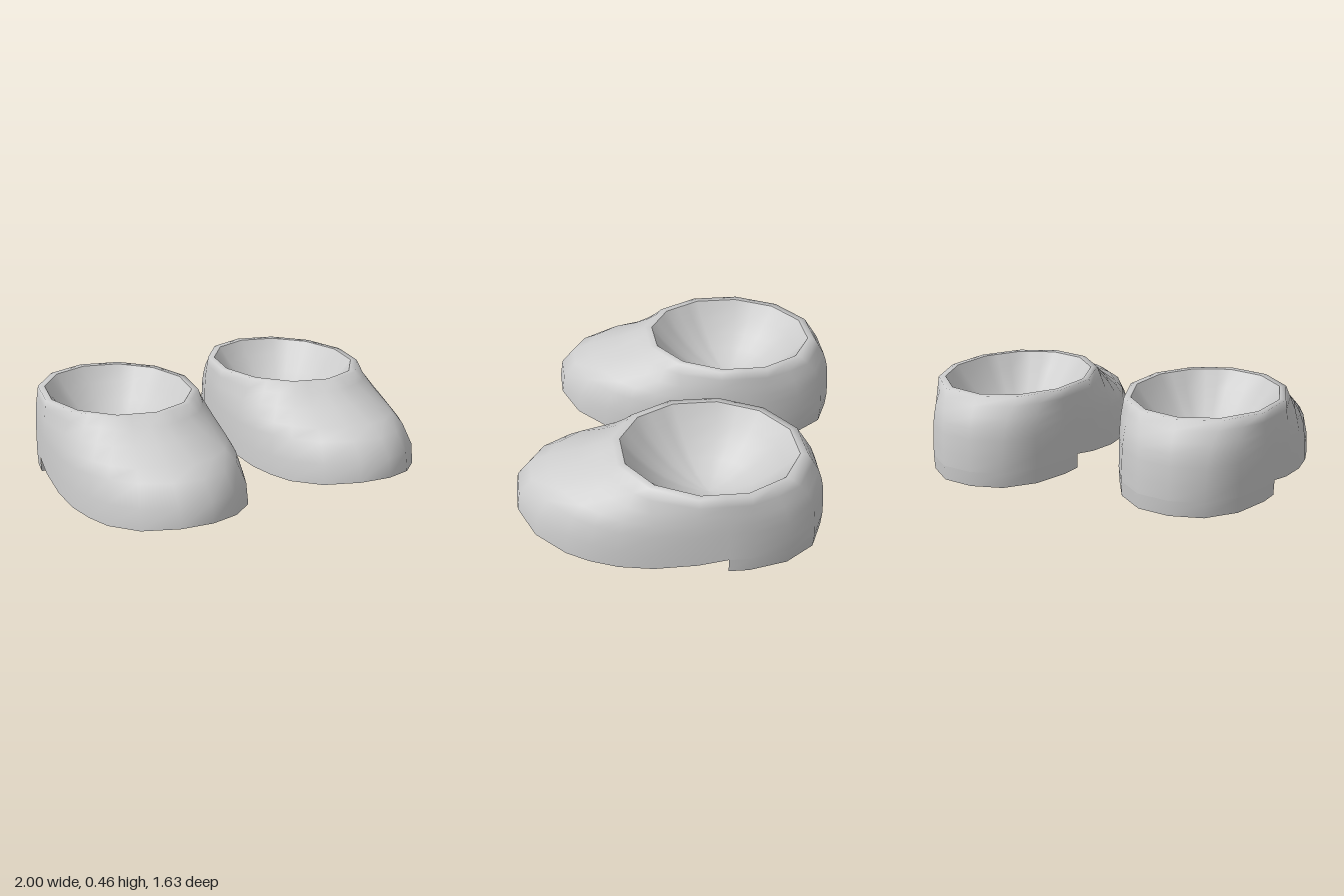
import * as THREE from 'three';

const TOP = 0.46;
const HEEL_Z = -0.37;

// half outline of the shoe, heel to toe: x, z, position on the 12-sided opening
const HALF = [
  [0, -0.82, 0], [0.17, -0.785, 1], [0.305, -0.66, 1.5], [0.39, -0.475, 2], [0.412, HEEL_Z, 2.5],
  [0.44, -0.22, 3], [0.46, 0, 4], [0.457, 0.18, 4.33], [0.435, 0.33, 4.67], [0.395, 0.46, 5],
  [0.305, 0.64, 5.33], [0.155, 0.77, 5.67], [0, 0.815, 6],
];
const mirrored = HALF.slice(1, -1).reverse().map(([x, z, s]) => [-x, z, 12 - s]);
const OUTLINE = [...HALF, ...mirrored];

// wall levels: [outward, height] at the heel and at the toe
const HEEL_WALL = [[1, 0], [0.97, 0.2], [0.9, 0.45], [0.78, 0.6], [0.6, 0.74], [0.28, 0.88], [0, 1]];
const TOE_WALL = [[1, 0], [0.97, 0.26], [0.83, 0.5], [0.66, 0.615], [0.34, 0.77], [0.13, 0.9], [0, 1]];

// underside height along the shoe
function soleY(z) {
  if (z <= HEEL_Z) return 0.08;
  if (z < 0.2) return 0.005 + 0.075 * ((0.2 - z) / 0.57) ** 1.7;
  return 0.005 + 0.065 * (Math.max(0, z - 0.45) / 0.37) ** 1.5;
}

// point on the 12-sided opening
function opening(s, scale) {
  const corner = (k) => [Math.sin(k * Math.PI / 6) * 0.385, -Math.cos(k * Math.PI / 6) * 0.46];
  const k = Math.floor(s), a = corner(k), b = corner(k + 1), t = s - k;
  return [(a[0] + (b[0] - a[0]) * t) * scale, -0.22 + (a[1] + (b[1] - a[1]) * t) * scale];
}

// smooth surface through rings of equal point count
function loft(rings, closed = true) {
  const n = rings[0].length, index = [];
  for (let r = 0; r < rings.length - 1; r++) {
    for (let i = 0; i < (closed ? n : n - 1); i++) {
      const j = (i + 1) % n;
      const a = r * n + i, b = a + n, c = r * n + j, d = c + n;
      index.push(a, b, c, c, b, d);
    }
  }
  const geometry = new THREE.BufferGeometry();
  geometry.setAttribute('position', new THREE.Float32BufferAttribute(rings.flat(2), 3));
  geometry.setIndex(index);
  geometry.computeVertexNormals();
  return geometry;
}

function upperGeometry() {
  const rings = HEEL_WALL.map(([hk, hh], level) => OUTLINE.map(([x, z, s]) => {
    const toe = THREE.MathUtils.smoothstep(z, -0.05, 0.6);
    const k = THREE.MathUtils.lerp(hk, TOE_WALL[level][0], toe);
    const h = THREE.MathUtils.lerp(hh, TOE_WALL[level][1], toe);
    const [rx, rz] = opening(s, 1.09);
    return [rx + (x - rx) * k, THREE.MathUtils.lerp(soleY(z), TOP, h), rz + (z - rz) * k];
  }));
  // flat rim around the opening
  rings.push(OUTLINE.map(([, , s]) => {
    const [x, z] = opening(s, 1);
    return [x, TOP, z];
  }));
  return loft(rings);
}

// rounded hollow inside the opening
function liningGeometry() {
  const rings = [1, 0.85, 0.68, 0.5, 0.3, 0.12, 0.001].map((r) => OUTLINE.map(([, , s]) => {
    const [x, z] = opening(s, r);
    return [x, TOP - 0.3 * (1 - r * r), z];
  }));
  return loft(rings);
}

function soleGeometry() {
  return loft([0, 1].map((w) => OUTLINE.map(([x, z]) => [x * w, soleY(z), z])));
}

export function createModel() {
  const grey = new THREE.MeshStandardMaterial({ color: 0xcccccc });
  grey.name = 'light grey';
  const model = new THREE.Group();
  model.name = 'shoes';

  const back = HALF.slice(0, 5);
  const heel = [...back.slice(1).reverse().map(([x, z]) => [-x, z]), ...back];
  const heelRing = (width, y, scale) => heel.map(([x, z]) => [x * width * scale, y, z < HEEL_Z ? z * scale : z]);
  const parts = {
    upper: upperGeometry(),
    lining: liningGeometry(),
    sole: soleGeometry(),
    heelWall: loft([heelRing(1, 0, 0.993), heelRing(1, 0.08, 1)], false),
    heelBottom: loft([heelRing(0, 0, 0.993), heelRing(1, 0, 0.993)], false),
    heelFront: new THREE.PlaneGeometry(0.82, 0.08).translate(0, 0.04, HEEL_Z),
  };

  for (const side of [1, -1]) {
    const shoe = new THREE.Group();
    shoe.name = side > 0 ? 'leftShoe' : 'rightShoe';
    for (const [name, geometry] of Object.entries(parts)) {
      const mesh = new THREE.Mesh(geometry, grey);
      mesh.name = name;
      shoe.add(mesh);
    }
    shoe.position.x = side * 0.54;
    model.add(shoe);
  }
  return model;
}
